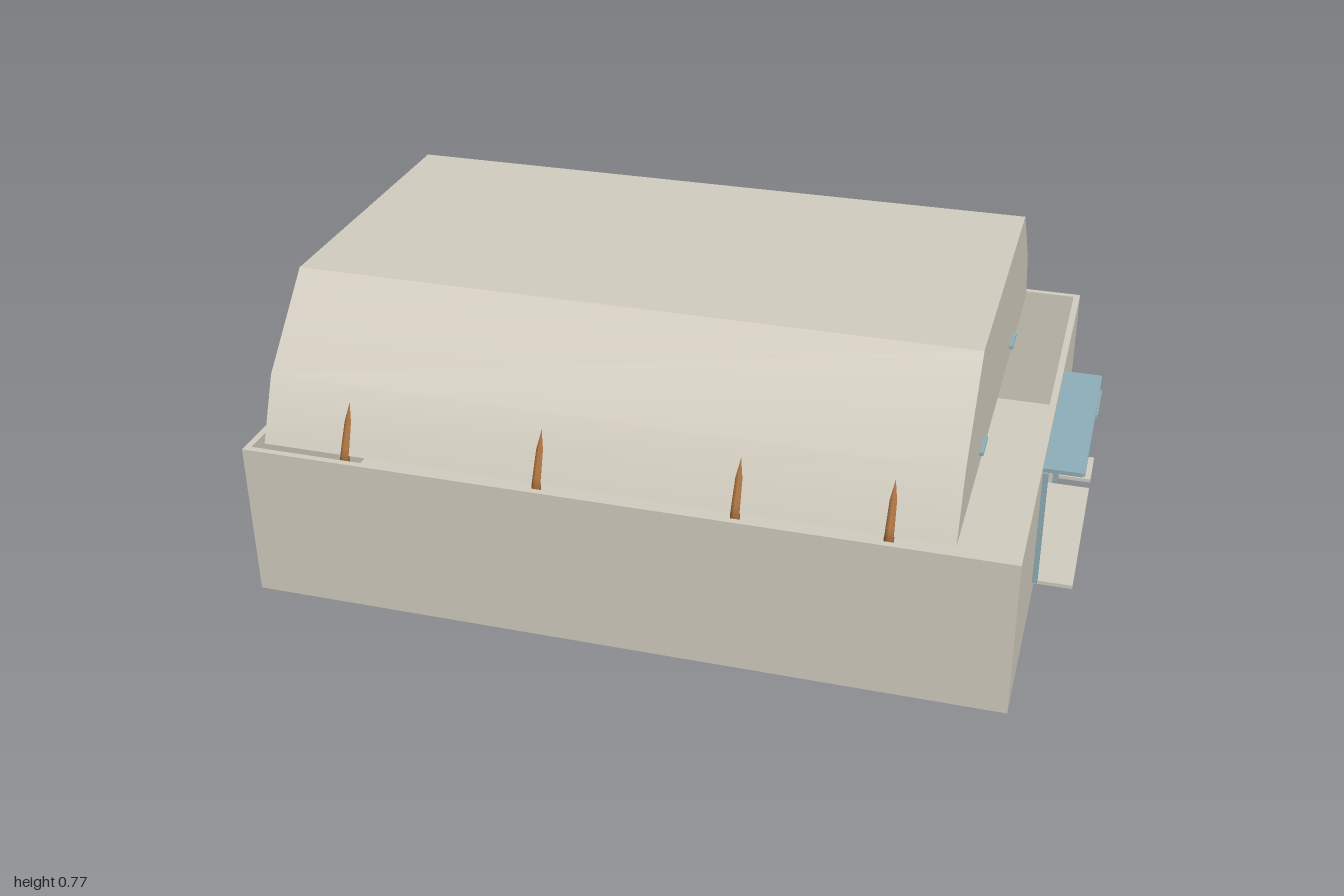
import * as THREE from 'three';
import { toCreasedNormals } from 'three/addons/utils/BufferGeometryUtils.js';

export function createModel() {
  const model = new THREE.Group();
  model.name = 'hall';
  const mat = (name, color) => {
    const m = new THREE.MeshStandardMaterial({ color });
    m.name = name;
    return m;
  };
  const beige = mat('beige', 0xd3cdc0);
  const blue = mat('blue', 0x8fafb9);
  const brown = mat('brown', 0xa8703c);

  const add = (name, geo, material) => {
    const m = new THREE.Mesh(geo, material);
    m.name = name;
    model.add(m);
    return m;
  };
  // box given by its limits on each axis
  const box = (name, material, x0, x1, y0, y1, z0, z1) => {
    const m = add(name, new THREE.BoxGeometry(x1 - x0, y1 - y0, z1 - z0), material);
    m.position.set((x0 + x1) / 2, (y0 + y1) / 2, (z0 + z1) / 2);
    return m;
  };
  // outline in (-z, y), extruded along x from x0 to x1
  const extrudeX = (shape, x0, x1) =>
    new THREE.ExtrudeGeometry(shape, { depth: x1 - x0, bevelEnabled: false })
      .rotateY(Math.PI / 2).translate(x0, 0, 0);
  const rect = (T, z0, z1, y0, y1) => new T([
    [-z1, y0], [-z0, y0], [-z0, y1], [-z1, y1],
  ].map(([a, b]) => new THREE.Vector2(a, b)));

  // hollow base: floor and four walls
  const H = 0.41, W = 0.712, T = 0.017;
  box('floor', beige, -1 + T, 0.9 - T, 0, 0.05, -W + T, W - T);
  box('backWall', beige, -1, 0.9 - T, 0, H, -W, -W + T);
  box('frontWall', beige, -1, 0.9 - T, 0, H, W - T, W);
  box('rightWall', beige, -1, -1 + T, 0, H, -W + T, W - T);

  // openings in the entrance wall: [z0, z1, top, canopy bottom, canopy z0, canopy z1]
  const openings = [
    ['door', -0.24, 0.24, 0.375, 0.386, -0.257, 0.26],
    ['window', -0.408, -0.286, 0.243, 0.256, -0.424, -0.273],
  ];
  const wall = rect(THREE.Shape, -W, W, 0, H);
  for (const [, z0, z1, top] of openings) wall.holes.push(rect(THREE.Path, z0, z1, 0.057, top));
  add('entranceWall', extrudeX(wall, 0.9 - T, 0.9), beige);

  // sill, jambs and rounded canopy for each opening
  for (const [name, z0, z1, top, cy, c0, c1] of openings) {
    box(name + 'Sill', beige, 0.895, 1, 0.047, 0.057, z0, z1);
    for (const [a, b] of [[z0 - 0.013, z0], [z1, z1 + 0.013]]) {
      box(name + 'Jamb', blue, 0.885, 0.913, 0.057, top + 0.003, a, b);
    }
    const r = 0.012;
    const plate = new THREE.Shape();
    plate.moveTo(0.9, -c1).lineTo(1 - r, -c1);
    plate.quadraticCurveTo(1, -c1, 1, -c1 + r).lineTo(1, -c0 - r);
    plate.quadraticCurveTo(1, -c0, 1 - r, -c0).lineTo(0.9, -c0);
    add(name + 'Canopy', new THREE.ExtrudeGeometry(plate, { depth: 0.011, bevelEnabled: false })
      .rotateX(-Math.PI / 2).translate(0, cy, 0), blue);
    box(name + 'Lintel', beige, 0.9, 0.922, top, cy, z0, z1);
  }

  // raised roof body with softly bent flanks
  const side = [[0.672, 0.41], [0.6, 0.566], [0.4, 0.766]];
  const profile = [...side, ...side.map(([z, y]) => [-z, y]).reverse()];
  const roof = new THREE.Shape(profile.map(([z, y]) => new THREE.Vector2(z, y)));
  add('roof', toCreasedNormals(extrudeX(roof, -0.96, 0.75), 0.5), beige);

  // struts rise from the floor and bend into the roof flanks
  for (const s of [-1, 1]) {
    for (const x of [-0.745, -0.25, 0.237, 0.597]) {
      const path = new THREE.CurvePath();
      const p = [[0.672, 0.04], [0.672, 0.405], [0.6, 0.535]]
        .map(([z, y]) => new THREE.Vector3(x, y, z * s));
      path.add(new THREE.LineCurve3(p[0], p[1]));
      path.add(new THREE.LineCurve3(p[1], p[2]));
      add('strut', new THREE.TubeGeometry(path, 24, 0.012, 8), brown);
    }
    // slot vents on the end of the roof
    box('vent', blue, 0.748, 0.76, 0.448, 0.457, s * 0.287 - 0.042, s * 0.287 + 0.042);
  }
  return model;
}
